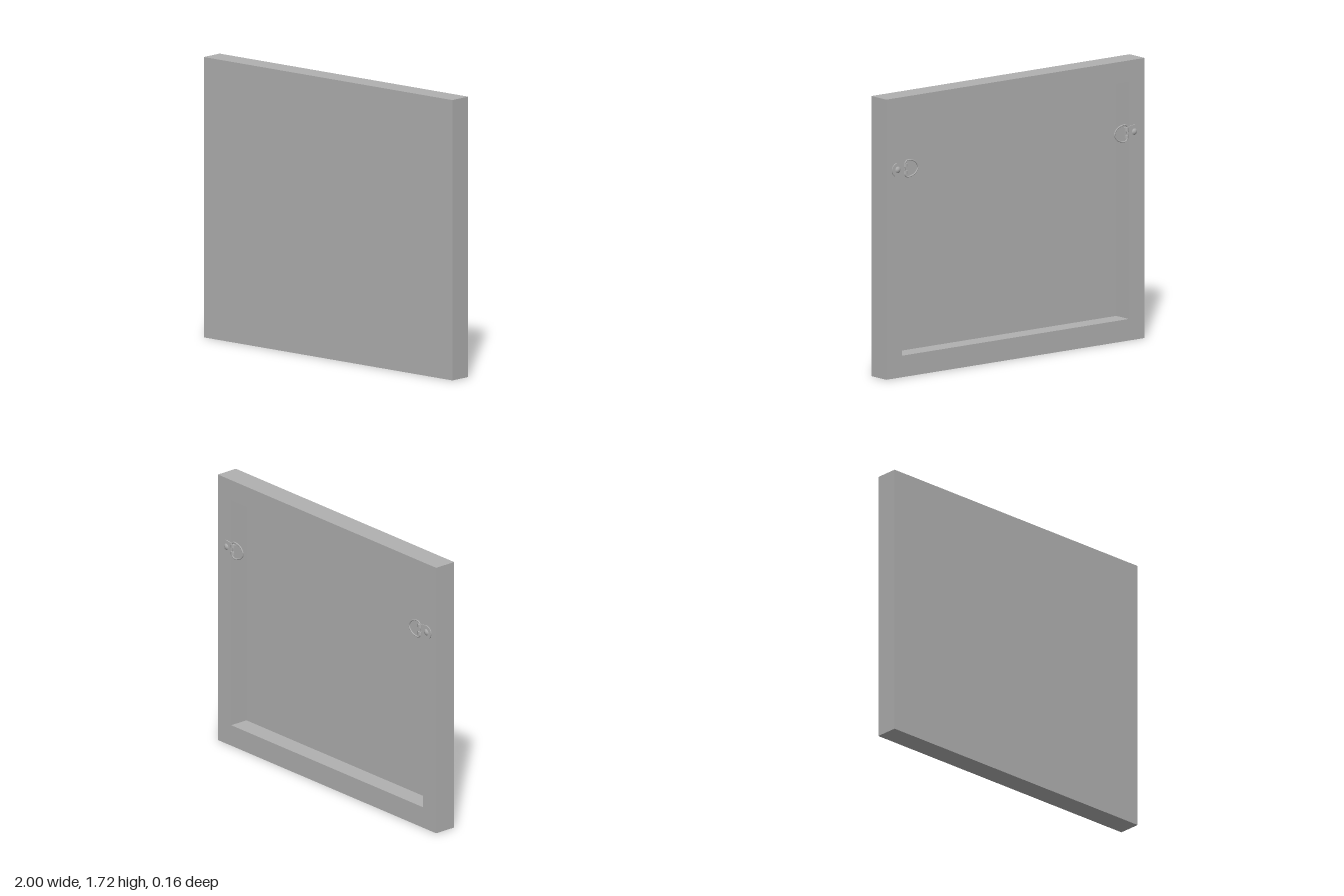
import * as THREE from 'three';

const HEIGHT = 1.715, BACK = -0.063, FRONT = 0.08, PANEL_BACK = 0.058;
const BAR_X = 0.122, BAR_Y = 0.132; // widths of the stretcher bars

const canvasGrey = new THREE.MeshStandardMaterial({ color: 0xb0b0b0 });
canvasGrey.name = 'canvasGrey';

function add(parent, name, geometry, x = 0, y = 0, z = 0) {
  const mesh = new THREE.Mesh(geometry, canvasGrey);
  mesh.name = name;
  mesh.position.set(x, y, z);
  parent.add(mesh);
  return mesh;
}

function rectangle(PathType, x, y0, y1) {
  const path = new PathType();
  path.moveTo(-x, y0);
  path.lineTo(x, y0);
  path.lineTo(x, y1);
  path.lineTo(-x, y1);
  path.closePath();
  return path;
}

// Hanger for the +x side: origin at the fold, screw end towards +x, face towards -z
function createHanger() {
  const hanger = new THREE.Group();

  // Plate with a round screw end, tapering to the fold, with a small slot
  const outline = new THREE.Shape();
  outline.moveTo(-0.025, -0.032);
  outline.lineTo(0.05, -0.042);
  outline.absarc(0.055, 0, 0.042, -Math.PI / 2, Math.PI / 2, false);
  outline.lineTo(-0.025, 0.032);
  outline.closePath();
  outline.holes.push(rectangle(THREE.Path, 0.01, -0.014, 0.014));
  const plate = new THREE.ExtrudeGeometry(outline, { depth: 0.006, bevelEnabled: false, curveSegments: 16 });
  add(hanger, 'hangerPlate', plate, 0, 0, -0.006);

  // Folded strap holding the ring's straight side
  for (const side of [-1, 1]) {
    const strap = add(hanger, 'ringStrap', new THREE.CylinderGeometry(0.009, 0.009, 0.02, 12), -0.004, side * 0.023, -0.007);
    strap.scale.x = 1.6;
  }

  // Screw with a domed head
  const dome = [[0, 0.008], [0.008, 0.0072], [0.015, 0.004], [0.02, 0]].map(([r, h]) => new THREE.Vector2(r, h));
  const screw = add(hanger, 'screw', new THREE.LatheGeometry(dome.reverse(), 20), 0.055, 0, -0.006);
  screw.rotation.x = -Math.PI / 2;

  // D-shaped wire ring
  const ringPoints = [[0, -0.035], [0, 0], [0, 0.035], [-0.015, 0.05], [-0.045, 0.049], [-0.08, 0.034],
    [-0.1, 0], [-0.08, -0.034], [-0.045, -0.049], [-0.015, -0.05]];
  const curve = new THREE.CatmullRomCurve3(ringPoints.map(([x, y]) => new THREE.Vector3(x, y, 0)), true);
  add(hanger, 'hangingRing', new THREE.TubeGeometry(curve, 60, 0.0045, 8, true), 0, 0, -0.007);
  return hanger;
}

export function createModel() {
  const model = new THREE.Group();
  model.name = 'stretchedCanvas';

  // Front panel
  const thickness = FRONT - PANEL_BACK;
  add(model, 'canvasPanel', new THREE.BoxGeometry(2, HEIGHT, thickness), 0, HEIGHT / 2, PANEL_BACK + thickness / 2);

  // Stretcher frame, open at the back
  const frame = rectangle(THREE.Shape, 1, 0, HEIGHT);
  frame.holes.push(rectangle(THREE.Path, 1 - BAR_X, BAR_Y, HEIGHT - BAR_Y));
  add(model, 'stretcherFrame', new THREE.ExtrudeGeometry(frame, { depth: PANEL_BACK - BACK, bevelEnabled: false }), 0, 0, BACK);

  // Hangers on both side bars; the second is turned half round about z
  for (const side of [1, -1]) {
    const hanger = createHanger();
    hanger.name = side > 0 ? 'leftHanger' : 'rightHanger';
    hanger.position.set(side * 0.861, 1.275, BACK);
    if (side < 0) hanger.rotation.z = Math.PI;
    model.add(hanger);
  }
  return model;
}
